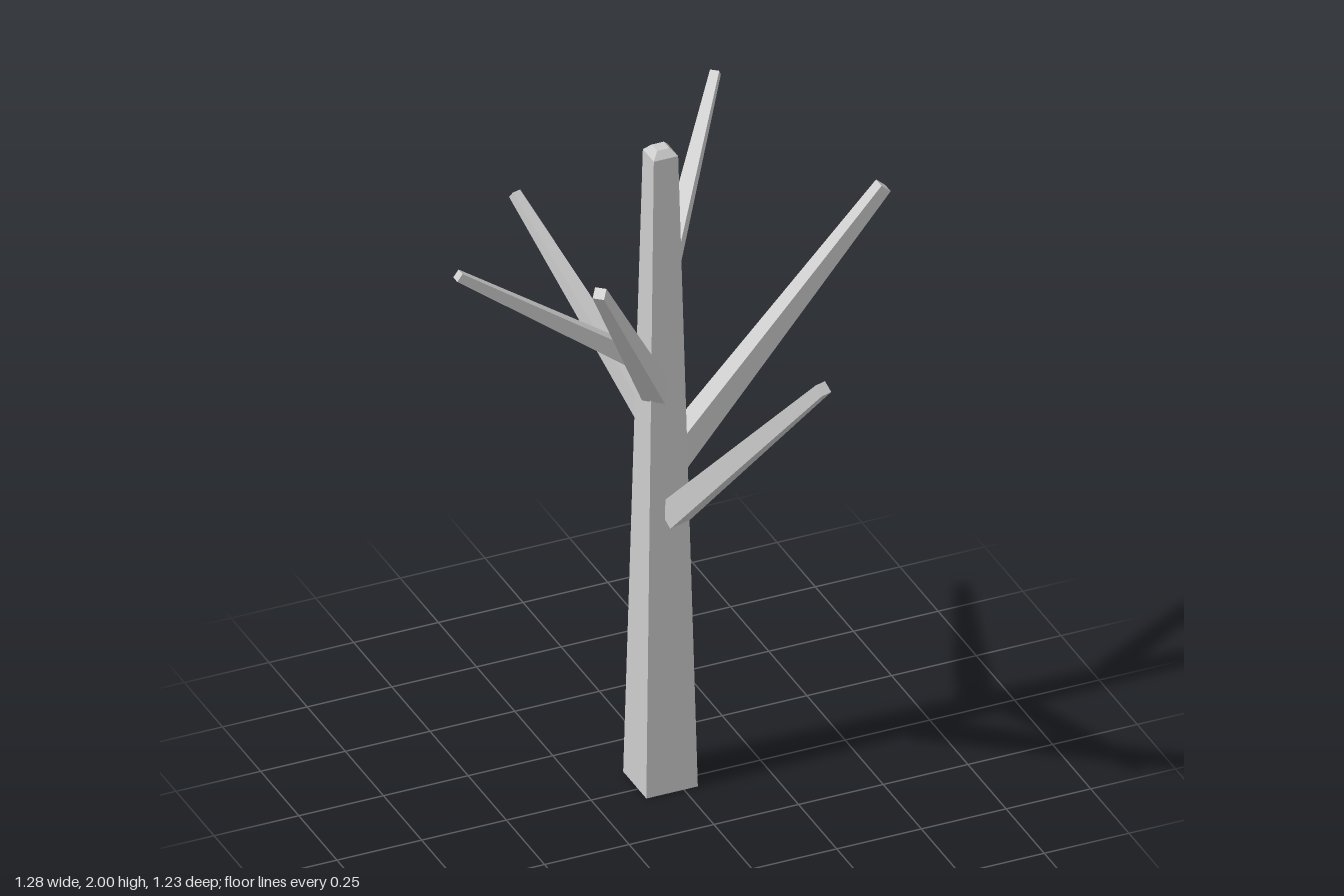
import * as THREE from 'three';

const material = new THREE.MeshStandardMaterial({ color: 0xcccccc, flatShading: true });

// Tapered square post running from a to b; h0 and h1 are the half widths at its ends
function taperedPost(name, a, b, h0, h1) {
  const start = new THREE.Vector3(...a);
  const end = new THREE.Vector3(...b);
  const dir = end.clone().sub(start);
  const geometry = new THREE.CylinderGeometry(
    h1 * Math.SQRT2, h0 * Math.SQRT2, dir.length(), 4, 1, false, Math.PI / 4);
  const mesh = new THREE.Mesh(geometry, material);
  mesh.name = name;
  mesh.position.copy(start).add(end).multiplyScalar(0.5);
  // Yaw towards the tip, then lean over, so two sides stay upright
  mesh.rotation.order = 'YXZ';
  mesh.rotation.y = Math.atan2(dir.x, dir.z);
  mesh.rotation.x = Math.atan2(Math.hypot(dir.x, dir.z), dir.y);
  return mesh;
}

export function createModel() {
  const tree = new THREE.Group();
  tree.name = 'bareTree';
  const cx = -0.035, cz = -0.022;

  // Trunk and its bevelled top
  tree.add(taperedPost('trunk', [cx, 0, cz], [cx, 1.98, cz], 0.076, 0.036));
  tree.add(taperedPost('trunkTop', [cx, 1.98, cz], [cx, 2, cz], 0.036, 0.018));

  // Branches: name, root, tip, half width at root and tip
  const branches = [
    ['frontBranch', [-0.015, 0.86, 0.02], [0.167, 1.53, 0.597], 0.036, 0.017],
    ['leftBranch', [0.0, 1.012, cz], [0.623, 1.71, cz], 0.037, 0.018],
    ['backBranch', [-0.052, 1.145, -0.062], [-0.203, 1.567, -0.605], 0.03, 0.013],
    ['frontRightBranch', [-0.062, 1.25, 0.008], [-0.42, 1.887, 0.433], 0.032, 0.016],
    ['rightBranch', [-0.06, 1.315, cz], [-0.633, 1.742, cz], 0.027, 0.013],
    ['backLeftBranch', [-0.005, 1.56, -0.055], [0.311, 1.918, -0.43], 0.027, 0.013],
  ];
  for (const branch of branches) tree.add(taperedPost(...branch));

  return tree;
}
